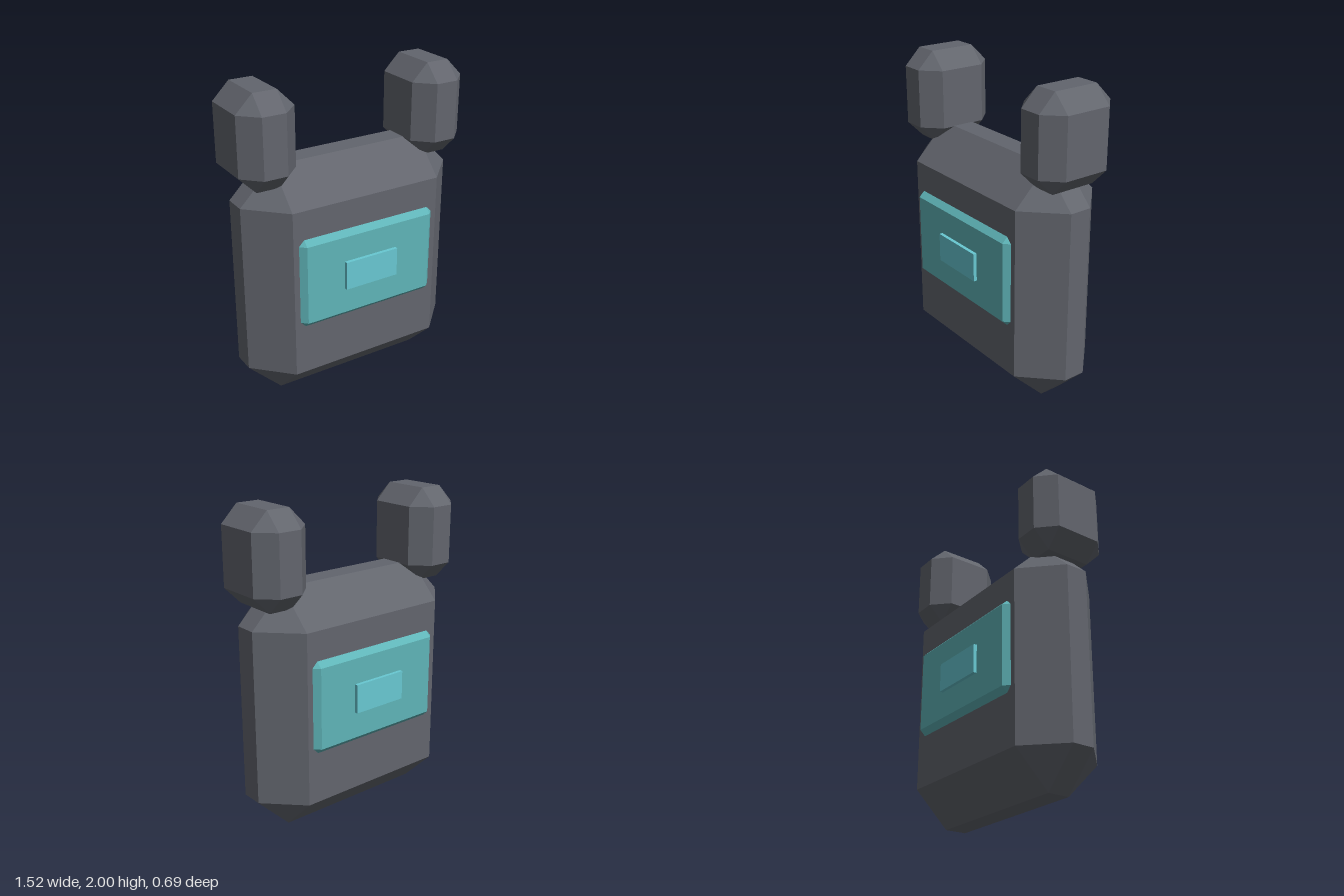
import * as THREE from 'three';
import { ConvexGeometry } from 'three/addons/geometries/ConvexGeometry.js';

const paint = (name, color) => {
  const material = new THREE.MeshStandardMaterial({ color });
  material.name = name;
  return material;
};

// Box with every edge cut at 45 degrees; h holds the half sizes
function chamferedBox(hx, hy, hz, cut) {
  const points = [];
  for (const sx of [-1, 1]) for (const sy of [-1, 1]) for (const sz of [-1, 1]) {
    for (let axis = 0; axis < 3; axis++) {
      const h = [hx, hy, hz].map((v, i) => (i === axis ? v : v - cut));
      points.push(new THREE.Vector3(sx * h[0], sy * h[1], sz * h[2]));
    }
  }
  return new ConvexGeometry(points);
}

export function createModel() {
  const slate = paint('slate grey', 0x62656d);
  const teal = paint('teal', 0x5fb4b8);
  const aqua = paint('light aqua', 0x68c8d2);
  const group = new THREE.Group();

  const add = (name, geometry, material, x, y, z) => {
    const mesh = new THREE.Mesh(geometry, material);
    mesh.name = name;
    mesh.position.set(x, y, z);
    group.add(mesh);
  };

  // Main block
  add('body', chamferedBox(0.727, 0.765, 0.29, 0.22), slate, 0, 0.765, 0);

  // Upright lobes on the top corners
  const lobe = chamferedBox(0.181, 0.29, 0.254, 0.107);
  add('leftLobe', lobe, slate, 0.58, 1.71, 0);
  add('rightLobe', lobe, slate, -0.58, 1.71, 0);

  // Screen block passing through the body, showing on both faces
  add('screen', chamferedBox(0.473, 0.292, 0.325, 0.037), teal, 0, 0.838, 0);

  // Small raised plate in the middle of each screen
  const plate = new THREE.BoxGeometry(0.364, 0.182, 0.03);
  add('frontPlate', plate, aqua, 0, 0.842, 0.332);
  add('backPlate', plate, aqua, 0, 0.842, -0.332);

  return group;
}
